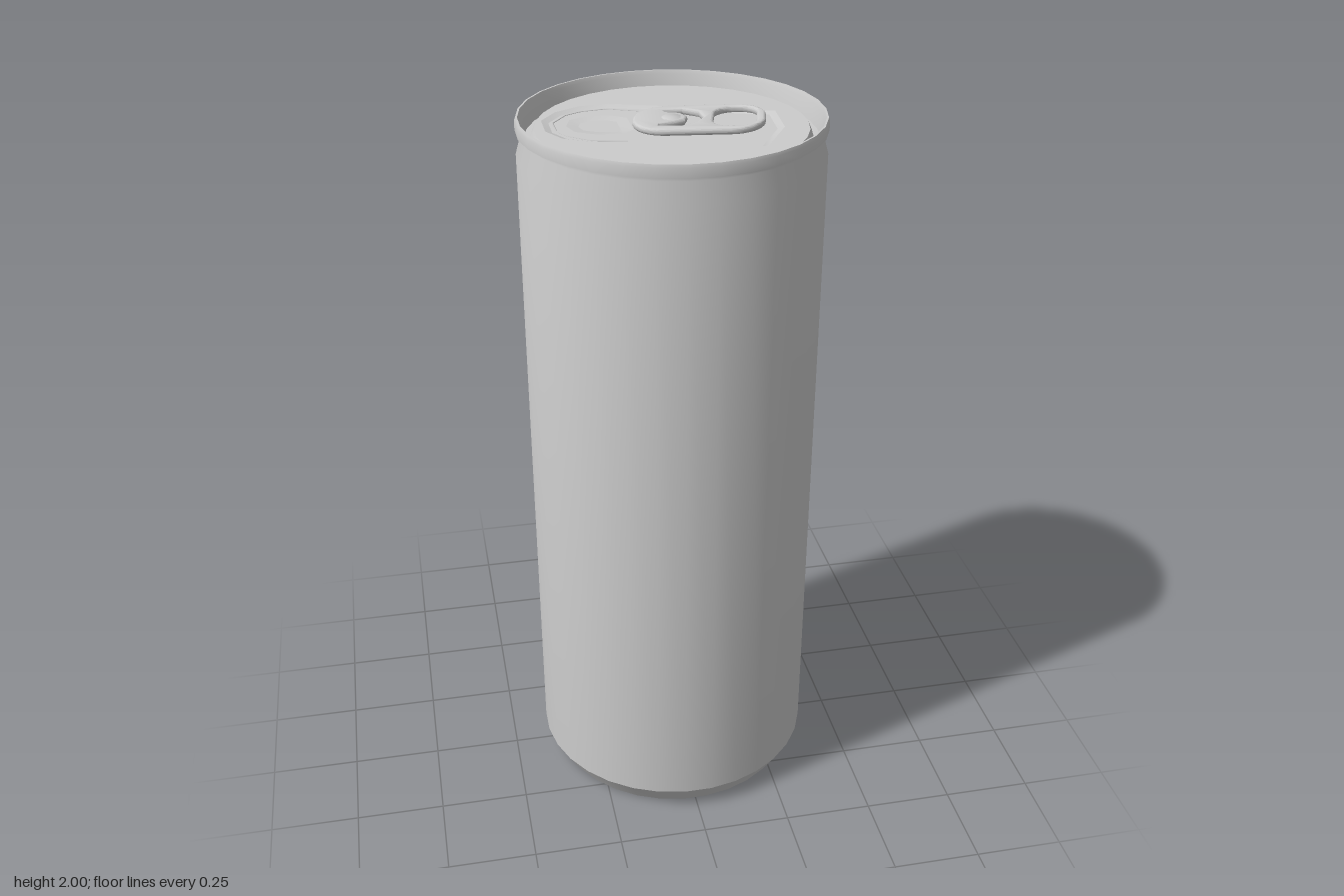
import * as THREE from 'three';
import { toCreasedNormals } from 'three/addons/utils/BufferGeometryUtils.js';

const SIDES = 32;
const K = 1 / Math.cos(Math.PI / SIDES); // flat-to-corner radius
const PANEL_Y = 1.968, FLOOR_Y = 1.962, PATCH_Y = 1.958;
const V = (list) => list.map(([x, z]) => new THREE.Vector2(x, z));

export function createModel() {
  const can = new THREE.Group();
  can.name = 'drinkCan';
  const material = new THREE.MeshStandardMaterial({ color: 0xcccccc });
  const add = (name, geometry, parent = can) => {
    const mesh = new THREE.Mesh(geometry, material);
    mesh.name = name;
    parent.add(mesh);
    return mesh;
  };

  // Shape from plan points (x, z), turned so that its front looks up
  const planShape = (points, holes = []) => {
    const flip = (pts) => pts.map((p) => new THREE.Vector2(p.x, -p.y));
    const shape = new THREE.Shape(flip(points));
    shape.holes = holes.map((h) => new THREE.Path(flip(h)));
    return shape;
  };
  const flat = (points, y, holes) =>
    new THREE.ShapeGeometry(planShape(points, holes)).rotateX(-Math.PI / 2).translate(0, y, 0);

  // Moves a closed outline inwards by d
  const inset = (pts, d) => pts.map((p, i) => {
    const n = pts.length;
    const normal = (a, b) => new THREE.Vector2(a.y - b.y, b.x - a.x).normalize();
    const n1 = normal(pts[(i + n - 1) % n], p), n2 = normal(p, pts[(i + 1) % n]);
    return p.clone().addScaledVector(n1.clone().add(n2), d / (1 + n1.dot(n2)));
  });

  // Sloping band between an outer and an inner outline
  const band = (outer, yOuter, inner, yInner) => {
    const pos = [];
    outer.forEach((a, i) => {
      const j = (i + 1) % outer.length, c = outer[j], b = inner[i], d = inner[j];
      pos.push(a.x, yOuter, a.y, b.x, yInner, b.y, c.x, yOuter, c.y);
      pos.push(c.x, yOuter, c.y, b.x, yInner, b.y, d.x, yInner, d.y);
    });
    const g = new THREE.BufferGeometry();
    g.setAttribute('position', new THREE.Float32BufferAttribute(pos, 3));
    return toCreasedNormals(g, 0.6);
  };

  // Shell: base, wall, neck, rolled rim, groove and panel wall
  const profile = V([
    [0, 0], [0.36, 0], [0.4, 0.065], [0.4, 1.905], [0.386, 1.955], [0.386, 1.963],
    [0.4, 1.967], [0.4, 1.992], [0.397, 2], [0.392, 2], [0.388, 1.99],
    [0.377, 1.945], [0.362, 1.945], [0.352, PANEL_Y],
  ]).map((p) => new THREE.Vector2(p.x * K, p.y));
  add('shell', toCreasedNormals(new THREE.LatheGeometry(profile, SIDES, Math.PI / SIDES), 0.5));

  // Lid panel with a shallow recess and a pressed patch in the opening
  const edge = Array.from({ length: SIDES }, (_, i) => {
    const a = (i + 0.5) / SIDES * Math.PI * 2;
    return new THREE.Vector2(Math.cos(a), Math.sin(a)).multiplyScalar(0.352 * K);
  });
  const recess = V([
    [-0.325, -0.1], [-0.28, -0.165], [-0.21, -0.205], [-0.13, -0.212], [0.29, -0.065], [0.28, 0.07],
    [0.2, 0.212], [-0.1, 0.115], [-0.22, 0.095], [-0.29, 0.055], [-0.325, -0.01],
  ]);
  const recessFloor = inset(recess, 0.018);
  const patch = V([
    [-0.265, -0.06], [-0.25, -0.11], [-0.2, -0.135], [-0.14, -0.13], [-0.1, -0.1],
    [-0.1, 0], [-0.13, 0.03], [-0.2, 0.02], [-0.25, -0.01],
  ]);
  const patchFloor = inset(patch, 0.03);
  add('lidPanel', flat(edge, PANEL_Y, [recess]));
  add('recessSlope', band(recess, PANEL_Y, recessFloor, FLOOR_Y));
  add('recessFloor', flat(recessFloor, FLOOR_Y, [patch]));
  add('patchSlope', band(patch, FLOOR_Y, patchFloor, PATCH_Y));
  add('patchFloor', flat(patchFloor, PATCH_Y));

  // Score line around the opening
  const score = new THREE.CurvePath();
  const scorePoints = [
    [-0.06, -0.15], [-0.14, -0.185], [-0.21, -0.175], [-0.255, -0.15], [-0.297, -0.09],
    [-0.295, -0.02], [-0.27, 0.025], [-0.215, 0.07], [-0.13, 0.09],
  ].map(([x, z]) => new THREE.Vector3(x, FLOOR_Y, z));
  for (let i = 1; i < scorePoints.length; i++) {
    score.add(new THREE.LineCurve3(scorePoints[i - 1], scorePoints[i]));
  }
  add('scoreLine', new THREE.TubeGeometry(score, 48, 0.002, 5));

  // Pull tab: rounded plate with a finger hole and a slot round the rivet tongue
  const rounded = (x0, x1, h, r0, r1) => {
    const s = new THREE.Path();
    s.absarc(x0 + r0, h - r0, r0, Math.PI, Math.PI / 2, true);
    s.absarc(x1 - r1, h - r1, r1, Math.PI / 2, 0, true);
    s.absarc(x1 - r1, r1 - h, r1, 0, -Math.PI / 2, true);
    s.absarc(x0 + r0, r0 - h, r0, -Math.PI / 2, -Math.PI, true);
    const pts = s.getPoints(6);
    return pts.filter((p, i) => p.distanceTo(pts[(i + 1) % pts.length]) > 1e-4);
  };
  const slot = V([
    [-0.028, -0.065], [0.022, -0.073], [0.065, -0.048], [0.082, -0.001], [0.064, 0.045],
    [0.029, 0.07], [-0.029, 0.065], [-0.028, 0.049], [0.009, 0.034], [0.035, 0.016],
    [0.039, -0.01], [0.021, -0.037], [-0.018, -0.047],
  ]);
  const plate = planShape(rounded(-0.1, 0.24, 0.103, 0.095, 0.085),
    [slot, rounded(0.107, 0.217, 0.08, 0.05, 0.045)]);
  const bevel = 0.006;
  const tabGeometry = new THREE.ExtrudeGeometry(plate, {
    depth: 0.006, bevelThickness: bevel, bevelSize: bevel, bevelOffset: -bevel, bevelSegments: 3,
  }).rotateX(-Math.PI / 2).translate(0, bevel, 0);
  const tab = new THREE.Group();
  tab.name = 'pullTab';
  tab.position.y = 1.971;
  tab.rotation.set(0, -THREE.MathUtils.degToRad(15), 0.045);
  add('tabPlate', toCreasedNormals(tabGeometry, 0.7), tab);
  can.add(tab);

  // Rivet holding the tab
  const rivetProfile = V([[0.03, 1.96], [0.03, 1.986], [0.025, 1.99], [0, 1.99]]);
  add('rivet', toCreasedNormals(new THREE.LatheGeometry(rivetProfile, 12), 0.7));

  return can;
}
